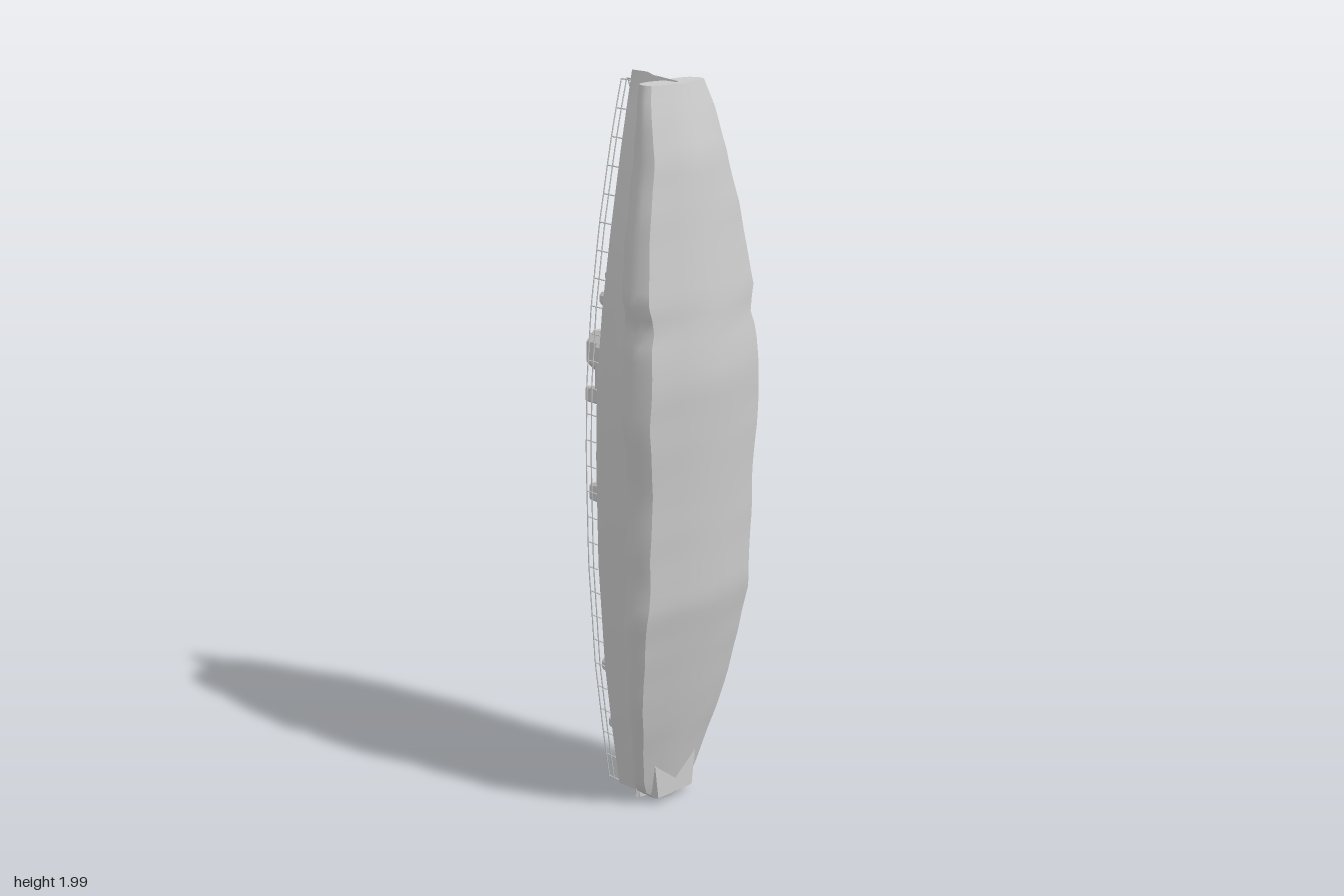
import * as THREE from 'three';
import { toCreasedNormals } from 'three/addons/utils/BufferGeometryUtils.js';

const mat = new THREE.MeshStandardMaterial({ color: 0xcccccc, side: THREE.DoubleSide });

// Piecewise linear lookup in a list of [y, value]
function lerpTable(table, y) {
  for (let i = 1; i < table.length; i++) {
    const [y0, v0] = table[i - 1], [y1, v1] = table[i];
    if (y <= y1) return v0 + (v1 - v0) * Math.max(0, (y - y0) / (y1 - y0));
  }
  return table[table.length - 1][1];
}

// Closed loft through half sections [x, y, z], mirrored in x
function loft(halves, crease) {
  const rings = halves.map(h => [...h, ...h.slice(1, -1).reverse().map(([x, y, z]) => [-x, y, z])]);
  const n = rings[0].length, pos = rings.flat(2), idx = [];
  for (let i = 0; i < rings.length - 1; i++) {
    for (let j = 0; j < n; j++) {
      const a = i * n + j, b = i * n + (j + 1) % n;
      idx.push(a, b, b + n, a, b + n, a + n);
    }
  }
  [0, rings.length - 1].forEach(r => {
    const c = pos.length / 3, mid = [0, 1, 2].map(k => rings[r].reduce((s, p) => s + p[k], 0) / n);
    pos.push(...mid);
    for (let j = 0; j < n; j++) {
      const a = r * n + j, b = r * n + (j + 1) % n;
      if (r) idx.push(c, a, b); else idx.push(c, b, a);
    }
  });
  const g = new THREE.BufferGeometry();
  g.setAttribute('position', new THREE.Float32BufferAttribute(pos, 3));
  g.setIndex(idx);
  return toCreasedNormals(g, crease);
}

// Deck half width and deck height along the ship
const DECK = [[0.03, 0.075], [0.2, 0.1], [0.4, 0.126], [0.7, 0.147], [1, 0.152], [1.2, 0.147],
  [1.4, 0.126], [1.6, 0.094], [1.8, 0.052], [1.9, 0.027], [1.995, 0.001]];
const deckW = y => lerpTable(DECK, y);
const deckZ = y => -0.055 - 0.018 * Math.max(0, (y - 1.5) / 0.5) ** 2;

// Outline of a rectangle with cut corners
function cutRect(cx, cy, w, h, c) {
  const x = w / 2, y = h / 2;
  return [[-x + c, -y], [x - c, -y], [x, -y + c], [x, y - c], [x - c, y], [-x + c, y], [-x, y - c], [-x, -y + c]]
    .map(p => [p[0] + cx, p[1] + cy]);
}

export function createModel() {
  const ship = new THREE.Group();
  const add = (name, geo, parent = ship) => {
    const m = new THREE.Mesh(geo, mat);
    m.name = name;
    parent.add(m);
    return m;
  };

  // Block rising from z0 to z1 (towards -z), tapered about its centre and raked by dy
  const block = (name, outline, z0, z1, taper = 1, dy = 0, taperY = taper) => {
    const g = new THREE.ExtrudeGeometry(new THREE.Shape(outline.map(p => new THREE.Vector2(...p))),
      { depth: z0 - z1, bevelEnabled: false });
    g.computeBoundingBox();
    const c = g.boundingBox.getCenter(new THREE.Vector3()), p = g.attributes.position;
    for (let i = 0; i < p.count; i++) {
      if (p.getZ(i) > 1e-6) continue;
      p.setX(i, c.x + (p.getX(i) - c.x) * taper);
      p.setY(i, c.y + (p.getY(i) - c.y) * taperY + dy);
    }
    g.translate(0, 0, z1);
    g.computeVertexNormals();
    return add(name, g);
  };
  const barrel = (x, y0, y1, z, r) => add('gunBarrel',
    new THREE.CylinderGeometry(r, r, y1 - y0, 8).translate(x, (y0 + y1) / 2, z));

  // Hull: flared sides, pointed bow, flat stern
  add('hull', loft(DECK.map(([y, w]) => {
    const foot = y - (y > 1.9 ? 0.012 : 0);
    return [[0, foot, 0.09], [w * 0.86, foot, 0.09], [w * 0.93, foot, 0.03],
      [w * 0.98, y, -0.02], [w, y, deckZ(y)], [0, y, deckZ(y)]];
  }), 0.5));

  // Swollen lower body: V keel, chine and a lumpy rolled lip
  const WIDTH = [[0.01, 0.045], [0.05, 0.1], [0.2, 0.14], [0.34, 0.175], [0.6, 0.207], [0.7, 0.2], [0.8, 0.205],
    [0.95, 0.2], [1.14, 0.217], [1.34, 0.205], [1.39, 0.187], [1.45, 0.205], [1.65, 0.175], [1.78, 0.142],
    [1.92, 0.12], [1.98, 0.1]];
  const KEEL = [[0.01, 0.075], [0.33, 0.155], [0.64, 0.223], [1.25, 0.25], [1.45, 0.228], [1.8, 0.175], [1.98, 0.112]];
  const LIP = [[0.01, 0.01], [0.1, 0.015], [0.3, 0.05], [0.6, 0.07], [1, 0.075], [1.3, 0.065], [1.6, 0.055], [1.98, 0.042]];
  const sections = [];
  for (let i = 0; i <= 56; i++) {
    const y = 0.01 + 1.97 * i / 56;
    const w = lerpTable(WIDTH, y), k = lerpTable(KEEL, y);
    const lump = Math.sin(y * 31) * 0.5 + Math.sin(y * 53 + 1) * 0.5;
    const lip = lerpTable(LIP, y) + lump * 0.005, d = k - lip, hull = deckW(y) * 0.9;
    const top = Math.max(hull + 0.01, w * 0.76);
    const at = (x, z) => [x, y, z];
    sections.push([at(0, k), at(w * 0.5, k - d * 0.14), at(w * 0.92, k - d * 0.28), at(w * 0.98, k - d * 0.44),
      at(w, k - d * 0.6), at(w * 0.96, k - d * (0.76 + lump * 0.02)), at(w * 0.89, lip + d * 0.1),
      at(top, lip), at((top + hull) / 2, lip - 0.004), at(hull * 0.97, lip + d * 0.08), at(0, lip + d * 0.1)]);
  }
  add('lowerBody', loft(sections, 0.6));

  // Two handrails with posts along each deck edge
  const rails = new THREE.Group();
  rails.name = 'railings';
  ship.add(rails);
  const railAt = (s, y, h) => new THREE.Vector3(s * (deckW(y) + 0.004), y, -h - 0.012 * Math.max(0, (y - 1.2) / 0.8));
  for (const s of [-1, 1]) {
    for (const h of [0.07, 0.089]) {
      const pts = Array.from({ length: 28 }, (_, i) => railAt(s, 0.04 + 1.93 * i / 27, h));
      add('rail', new THREE.TubeGeometry(new THREE.CatmullRomCurve3(pts), 80, 0.0018, 5), rails);
    }
    for (let i = 0; i < 28; i++) {
      const p = railAt(s, 0.04 + 1.93 * i / 27, 0.091);
      const len = deckZ(p.y) - p.z;
      add('railPost', new THREE.CylinderGeometry(0.0018, 0.0018, len, 5).rotateX(Math.PI / 2)
        .translate(p.x - s * 0.003, p.y, p.z + len / 2), rails);
    }
  }

  // Low deckhouse with a narrow waist, running from the aft gun to the bridge
  const side = [[0.03, 0.48], [0.055, 0.51], [0.055, 0.6], [0.035, 0.64], [0.085, 0.65], [0.085, 0.88],
    [0.045, 0.93], [0.045, 1], [0.085, 1.05], [0.085, 1.3], [0.06, 1.34]];
  block('deckhouse', [...side, ...side.map(([x, y]) => [-x, y]).reverse()], -0.05, -0.078, 0.98);

  // Forward gun platform: two side walls around a base
  block('forwardPlatform', cutRect(0, 1.44, 0.12, 0.2, 0.035), -0.05, -0.075, 0.95);
  for (const s of [-1, 1]) block('platformWall', cutRect(s * 0.045, 1.47, 0.018, 0.17, 0.004), -0.07, -0.09);

  // Main guns fore and aft
  block('forwardTurret', cutRect(0, 1.4, 0.085, 0.09, 0.025), -0.07, -0.136, 0.5, 0, 0.8);
  barrel(0, 1.41, 1.54, -0.112, 0.005);
  block('aftTurret', cutRect(0, 0.56, 0.08, 0.09, 0.025), -0.07, -0.136, 0.5, 0, 0.8);
  barrel(0, 0.42, 0.55, -0.108, 0.005);

  // Bridge tower and its raked funnel
  block('bridgeBase', cutRect(0, 1.185, 0.16, 0.25, 0.04), -0.075, -0.15, 0.82, 0.01);
  block('bridgeTop', cutRect(0, 1.24, 0.116, 0.125, 0.03), -0.15, -0.2, 0.86, 0);
  block('forwardFunnelBase', cutRect(0, 1.1, 0.07, 0.09, 0.015), -0.078, -0.15, 0.8);
  block('forwardFunnel', cutRect(0, 1.115, 0.04, 0.06, 0.008), -0.13, -0.25, 0.5, -0.012, 0.7);

  // Aft tower, its funnel and a small gun
  block('aftTowerBase', cutRect(0, 0.82, 0.12, 0.16, 0.025), -0.075, -0.125, 0.85);
  block('aftFunnel', cutRect(0, 0.84, 0.05, 0.075, 0.01), -0.12, -0.232, 0.6, -0.012, 0.65);
  block('towerTurret', cutRect(0, 0.755, 0.05, 0.07, 0.015), -0.075, -0.145, 0.7);
  for (const s of [-1, 1]) block('boatLocker', cutRect(s * 0.1, 0.72, 0.03, 0.05, 0.003), -0.05, -0.08);

  // Small deck guns in pairs: [x, y, barrel direction]
  for (const [x, y, dir] of [[0.083, 1.41, 1], [0.085, 0.38, -1], [0.06, 0.2, -1]]) {
    for (const s of [-1, 1]) {
      block('deckGun', cutRect(s * x, y, 0.038, 0.045, 0.011), -0.05, -0.1, 0.55, 0, 0.75);
      barrel(s * x, dir > 0 ? y : y - 0.07, dir > 0 ? y + 0.07 : y, -0.085, 0.003);
    }
  }
  return ship;
}
